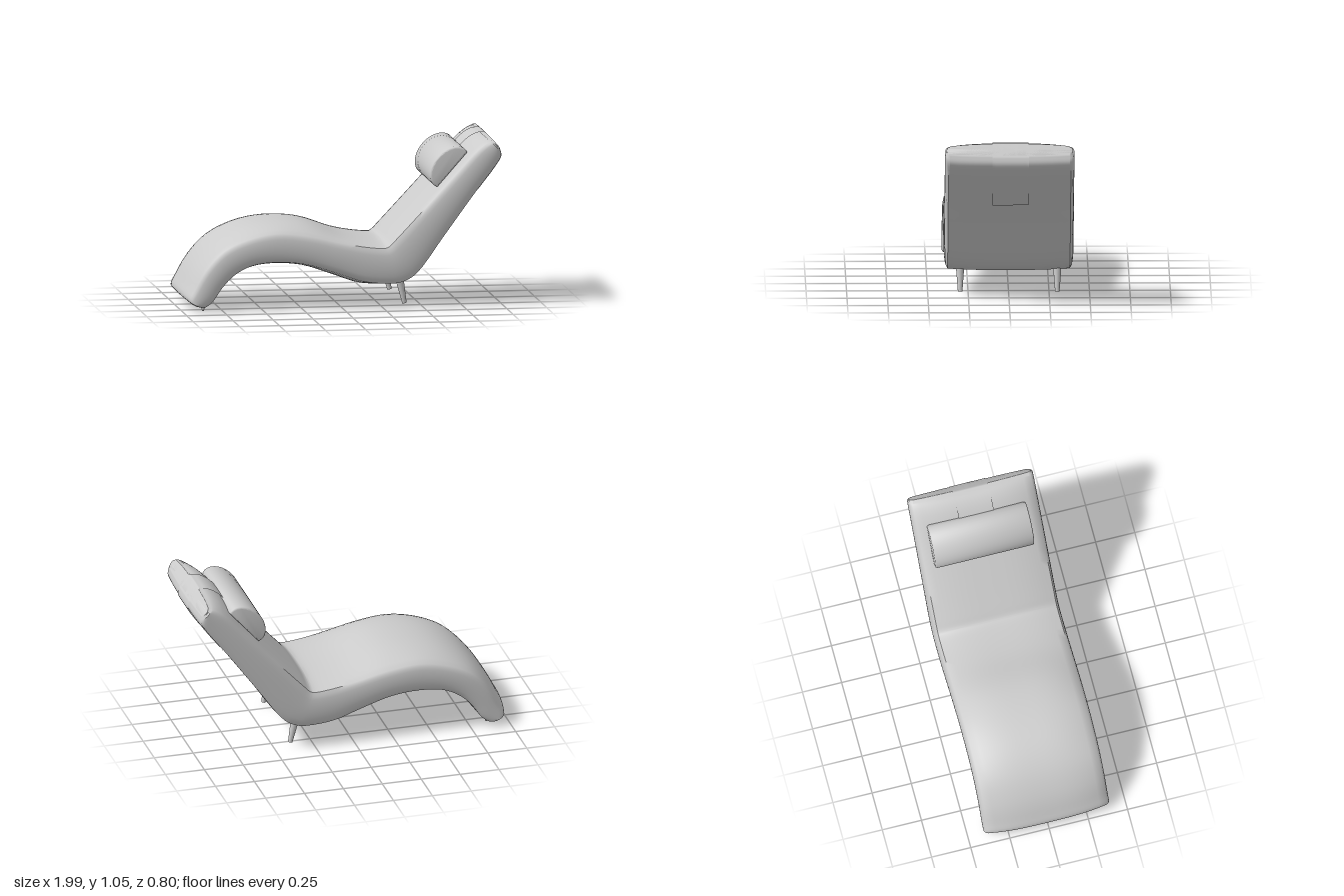
import * as THREE from 'three';
import { toCreasedNormals } from 'three/addons/utils/BufferGeometryUtils.js';

const material = new THREE.MeshStandardMaterial({ color: 0xcccccc });
const clothMaterial = new THREE.MeshStandardMaterial({ color: 0xcccccc, side: THREE.DoubleSide });

// Stations from foot to head: side seam top x, y, side seam bottom x, y, crown above, crown below
const stations = [
  [-0.945, 0.05, -0.915, 0.035, 0.015, 0.01],
  [-0.962, 0.075, -0.87, 0.03, 0.033, 0.012],
  [-0.93, 0.14, -0.82, 0.065, 0.04, 0.01],
  [-0.86, 0.26, -0.76, 0.15, 0.04, 0.02],
  [-0.75, 0.375, -0.68, 0.23, 0.04, 0.02],
  [-0.6, 0.445, -0.57, 0.285, 0.05, 0.03],
  [-0.42, 0.48, -0.42, 0.303, 0.05, 0.03],
  [-0.22, 0.46, -0.24, 0.287, 0.06, 0.03],
  [0, 0.41, -0.05, 0.23, 0.035, 0.035],
  [0.15, 0.383, 0.13, 0.17, 0.032, 0.035],
  [0.26, 0.375, 0.31, 0.155, 0.035, 0.012],
  [0.285, 0.385, 0.37, 0.165, 0.035, 0.012],
  [0.33, 0.43, 0.45, 0.21, 0.035, 0.015],
  [0.5, 0.61, 0.63, 0.45, 0.035, 0.01],
  [0.7, 0.825, 0.82, 0.71, 0.035, 0.01],
  [0.84, 0.975, 0.95, 0.88, 0.038, 0.01],
  [0.9, 1.018, 0.983, 0.94, 0.03, 0.01],
  [0.94, 1.03, 0.973, 0.99, 0.018, 0.01],
];
const last = stations.length - 1;
const HALF = 0.378;
// The third component of each curve carries the crown height
const topCurve = new THREE.CatmullRomCurve3(stations.map(s => new THREE.Vector3(s[0], s[1], s[4])));
const bottomCurve = new THREE.CatmullRomCurve3(stations.map(s => new THREE.Vector3(s[2], s[3], s[5])));

// Point on the cushion: station index s, top or bottom face, u across the width, lifted by d
function surface(s, onTop, u, d = 0) {
  const a = topCurve.getPoint(s / last), b = bottomCurve.getPoint(s / last);
  const [p, q] = onTop ? [a, b] : [b, a];
  const dir = new THREE.Vector2(p.x - q.x, p.y - q.y).normalize();
  const lift = p.z * (1 - Math.abs(u) ** 3) + d;
  return new THREE.Vector3(p.x + dir.x * lift, p.y + dir.y * lift, HALF * u);
}

// Surface through rows of points, optionally closed around and capped
function loft(rows, closed) {
  const n = rows[0].length, pos = [], index = [];
  rows.forEach(r => r.forEach(p => pos.push(p.x, p.y, p.z)));
  for (let i = 0; i < rows.length - 1; i++) {
    for (let j = 0; j < (closed ? n : n - 1); j++) {
      const a = i * n + j, b = i * n + (j + 1) % n;
      index.push(a, b, a + n, b, b + n, a + n);
    }
  }
  if (closed) {
    [0, rows.length - 1].forEach((i, end) => {
      const c = rows[i].reduce((m, p) => m.add(p), new THREE.Vector3()).divideScalar(n);
      const k = pos.length / 3;
      pos.push(c.x, c.y, c.z);
      for (let j = 0; j < n; j++) {
        const a = i * n + j, b = i * n + (j + 1) % n;
        index.push(k, end ? a : b, end ? b : a);
      }
    });
  }
  const g = new THREE.BufferGeometry();
  g.setAttribute('position', new THREE.Float32BufferAttribute(pos, 3));
  g.setIndex(index);
  g.computeVertexNormals();
  return g;
}

// Complete cross-section: crowned top, bulging sides, crowned bottom
function section(s) {
  const ring = [], across = 16, side = 10;
  const taper = s < 0.5 || s > last - 0.5 ? 0.975 : 1;
  const wall = sign => {
    const from = surface(s, sign > 0, sign), to = surface(s, sign < 0, sign);
    for (let k = 1; k < side; k++) {
      const p = from.clone().lerp(to, k / side);
      p.z += sign * 0.022 * Math.sqrt(Math.sin(Math.PI * k / side));
      ring.push(p);
    }
  };
  for (let k = 0; k <= across; k++) ring.push(surface(s, true, -1 + 2 * k / across));
  wall(1);
  for (let k = 0; k <= across; k++) ring.push(surface(s, false, 1 - 2 * k / across));
  wall(-1);
  ring.forEach(p => { p.z *= taper; });
  return ring;
}

// Cloth band wrapped over the head end, from a top station to a bottom station
function band(topFrom, bottomTo, u0, u1, d) {
  const path = [], steps = 14;
  for (let k = 0; k <= steps; k++) path.push([topFrom + (last - topFrom) * k / steps, true]);
  for (let k = 0; k <= steps; k++) path.push([last + (bottomTo - last) * k / steps, false]);
  const rows = path.map(([s, onTop]) => {
    const row = [];
    for (let k = 0; k <= 12; k++) row.push(surface(s, onTop, u0 + (u1 - u0) * k / 12, d));
    return row;
  });
  return loft(rows, false);
}

export function createModel() {
  const group = new THREE.Group();
  const add = (name, geometry, mat = material) => {
    const mesh = new THREE.Mesh(geometry, mat);
    mesh.name = name;
    group.add(mesh);
    return mesh;
  };

  // Continuous upholstered body
  const rows = [];
  for (let i = 0; i <= last * 4; i++) rows.push(section(i / 4));
  add('loungeBody', toCreasedNormals(loft(rows, true), 0.8));

  // Cover over the top of the backrest and the strap holding the pillow
  add('backCover', band(16.4, 14.1, -0.98, 0.98, 0.003), clothMaterial);
  add('pillowStrap', band(14.5, 13.75, -0.31, 0.28, 0.009), clothMaterial);

  // Head pillow: D-shaped roll lying on the backrest
  const shape = new THREE.Shape();
  shape.moveTo(-0.14, -0.025);
  shape.bezierCurveTo(-0.17, 0.03, -0.1, 0.098, 0, 0.098);
  shape.bezierCurveTo(0.1, 0.098, 0.17, 0.03, 0.14, -0.025);
  shape.closePath();
  const roll = new THREE.ExtrudeGeometry(shape, {
    depth: 0.6, bevelEnabled: true, bevelThickness: 0.015, bevelSize: 0.012,
    bevelOffset: -0.012, bevelSegments: 3, curveSegments: 14,
  });
  roll.translate(0, 0, -0.3);
  const pillow = add('headPillow', toCreasedNormals(roll, 0.7));
  pillow.position.set(0.672, 0.862, -0.005);
  pillow.rotation.z = Math.atan2(0.75, 0.66);

  for (const z of [-0.3, 0.3]) {
    // Tapered, slightly raked legs under the seat
    const leg = add('leg', new THREE.CylinderGeometry(0.027, 0.014, 0.17, 20));
    leg.position.set(0.374, 0.104, z);
    leg.rotation.z = 0.2;
    // Small glides under the foot end
    const glide = add('footGlide', new THREE.CylinderGeometry(0.022, 0.005, 0.05, 12));
    glide.position.set(-0.868, 0.025, z);
  }
  return group;
}
